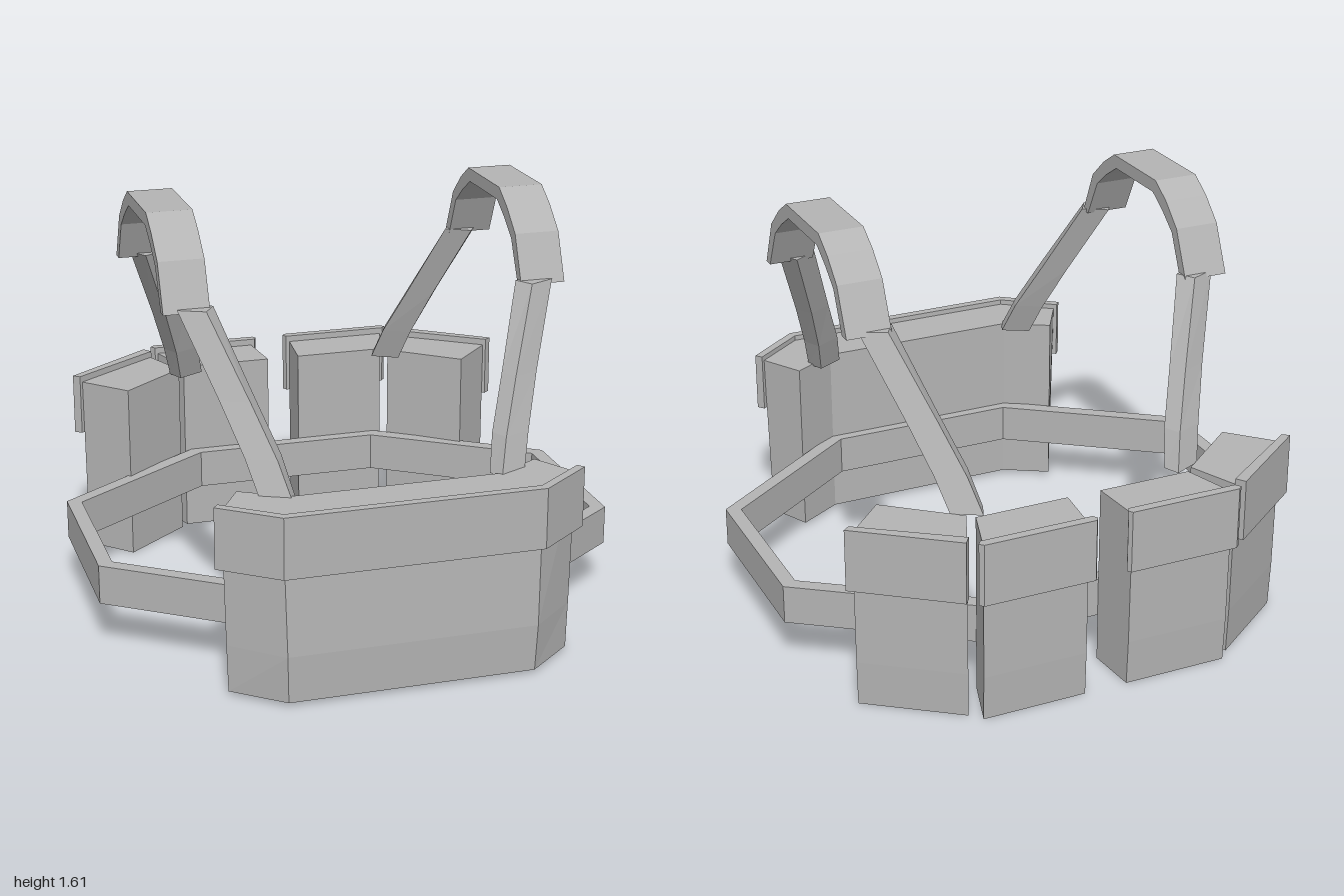
import * as THREE from 'three';

// Closed solid through horizontal rings (bottom to top): rings = [{ y, pts: [[x, z], ...] }]
function loft(rings) {
  const flat = rings[0].pts.map(([x, z]) => new THREE.Vector2(x, z));
  const flip = THREE.ShapeUtils.area(flat) < 0;
  if (flip) flat.reverse();
  const loops = rings.map(({ y, pts }) => {
    const loop = pts.map(([x, z]) => [x, y, z]);
    return flip ? loop.reverse() : loop;
  });
  const n = flat.length;
  const pos = [];
  const tri = (a, b, c) => pos.push(...a, ...b, ...c);
  for (let r = 0; r < loops.length - 1; r++) {
    const lo = loops[r], hi = loops[r + 1];
    for (let i = 0; i < n; i++) {
      const j = (i + 1) % n;
      tri(lo[j], lo[i], hi[i]);
      tri(lo[j], hi[i], hi[j]);
    }
  }
  const bottom = loops[0], top = loops[loops.length - 1];
  for (const [a, b, c] of THREE.ShapeUtils.triangulateShape(flat, [])) {
    tri(bottom[a], bottom[b], bottom[c]);
    tri(top[a], top[c], top[b]);
  }
  const geo = new THREE.BufferGeometry();
  geo.setAttribute('position', new THREE.Float32BufferAttribute(pos, 3));
  geo.computeVertexNormals();
  return geo;
}

const mirrorX = (pts, s) => pts.map(([x, z]) => [x * s, z]);
const toShape = (pts) => new THREE.Shape(pts.map(([x, y]) => new THREE.Vector2(x, y)));

export function createModel() {
  const group = new THREE.Group();
  const grey = new THREE.MeshStandardMaterial({ color: 0xb4b4b4 });
  grey.name = 'grey fabric';
  const add = (name, geo) => {
    const mesh = new THREE.Mesh(geo, grey);
    mesh.name = name;
    group.add(mesh);
  };

  // Waist belt: eight-sided ring
  const octagon = (sx, sz, cx, front, back) => [
    [sx, -sz], [cx, -front], [-cx, -front], [-sx, -sz],
    [-sx, sz], [-cx, back], [cx, back], [sx, sz],
  ];
  const beltShape = toShape(octagon(1, 0.33, 0.4, 0.77, 0.76));
  beltShape.holes.push(toShape(octagon(0.945, 0.305, 0.37, 0.725, 0.71).reverse()));
  const belt = new THREE.ExtrudeGeometry(beltShape, { depth: 0.15, bevelEnabled: false });
  add('belt', belt.rotateX(-Math.PI / 2).translate(0, 0.19, 0));

  // Front pouch wrapping round the belt, and its flap
  const frontBody = (w, c, z) => [
    [0.56, 0.665], [w, 0.825], [c, z], [-c, z], [-w, 0.825], [-0.56, 0.665], [-0.39, 0.765], [0.39, 0.765],
  ];
  add('frontPouch', loft([
    { y: 0.02, pts: frontBody(0.64, 0.46, 0.975) },
    { y: 0.2, pts: frontBody(0.645, 0.465, 0.985) },
    { y: 0.71, pts: frontBody(0.655, 0.475, 0.97) },
  ]));
  const frontFlap = [
    [0.685, 0.84], [0.48, 1], [-0.48, 1], [-0.685, 0.84],
    [-0.665, 0.815], [-0.47, 0.965], [0.47, 0.965], [0.665, 0.815],
  ];
  add('frontPouchFlap', loft([{ y: 0.5, pts: frontFlap }, { y: 0.73, pts: frontFlap }]));

  // Back pouches: two outline points away from the body, then two against the belt
  const backPouches = [
    {
      name: 'backPouch',
      body: [[0.085, -0.97], [0.49, -0.97], [0.425, -0.76], [0.065, -0.76]],
      flap: [[0.06, -0.985], [0.07, -1], [0.5, -1], [0.515, -0.985], [0.5, -0.965], [0.07, -0.965]],
    },
    {
      name: 'sidePouch',
      body: [[0.53, -0.925], [0.86, -0.685], [0.705, -0.525], [0.45, -0.735]],
      flap: [[0.55, -0.96], [0.895, -0.7], [0.87, -0.68], [0.525, -0.925]],
    },
  ];
  // Draws the outer edge in towards the inner edge
  const taper = ([a, b, c, d], t) => {
    const mix = (p, q) => [p[0] + (q[0] - p[0]) * t, p[1] + (q[1] - p[1]) * t];
    return [mix(a, d), mix(b, c), c, d];
  };

  // Shoulder pad arch, outer edge then inner edge, as [z, y]
  const padProfile = [
    [0.425, 1.3], [0.35, 1.475], [0.26, 1.555], [0.175, 1.61],
    [-0.16, 1.61], [-0.245, 1.555], [-0.33, 1.475], [-0.41, 1.3],
    [-0.365, 1.3], [-0.295, 1.45], [-0.22, 1.51], [-0.14, 1.56],
    [0.155, 1.56], [0.235, 1.51], [0.31, 1.45], [0.385, 1.3],
  ];

  // Lower strap cross-sections
  const strapRings = [
    { y: 0.7, pts: [[0.39, 0.785], [0.495, 0.735], [0.465, 0.67], [0.365, 0.725]] },
    { y: 0.83, pts: [[0.425, 0.725], [0.53, 0.675], [0.495, 0.605], [0.395, 0.66]] },
    { y: 1.02, pts: [[0.495, 0.625], [0.595, 0.575], [0.555, 0.505], [0.465, 0.56]] },
    { y: 1.315, pts: [[0.61, 0.47], [0.705, 0.425], [0.66, 0.35], [0.57, 0.405]] },
  ];

  for (const [side, s] of [['left', 1], ['right', -1]]) {
    for (const { name, body, flap } of backPouches) {
      add(`${side} ${name}`, loft([
        { y: 0.005, pts: mirrorX(taper(body, 0.05), s) },
        { y: 0.18, pts: mirrorX(taper(body, 0.02), s) },
        { y: 0.705, pts: mirrorX(body, s) },
      ]));
      const outline = mirrorX(flap, s);
      add(`${side} ${name}Flap`, loft([{ y: 0.49, pts: outline }, { y: 0.73, pts: outline }]));
    }

    const padShape = toShape(padProfile.map(([z, y]) => [-z, y]));
    const pad = new THREE.ExtrudeGeometry(padShape, { depth: 0.17, bevelEnabled: false });
    add(`${side} shoulderPad`, pad.rotateY(Math.PI / 2).translate(s * 0.67 - 0.085, 0, 0));

    add(`${side} frontStrap`, loft(strapRings.map(({ y, pts }) => ({ y, pts: mirrorX(pts, s) }))));
    add(`${side} backStrap`, loft(strapRings.map(({ y, pts }) => (
      { y, pts: pts.map(([x, z]) => [x * s, 0.035 - z]) }))));
  }
  return group;
}
